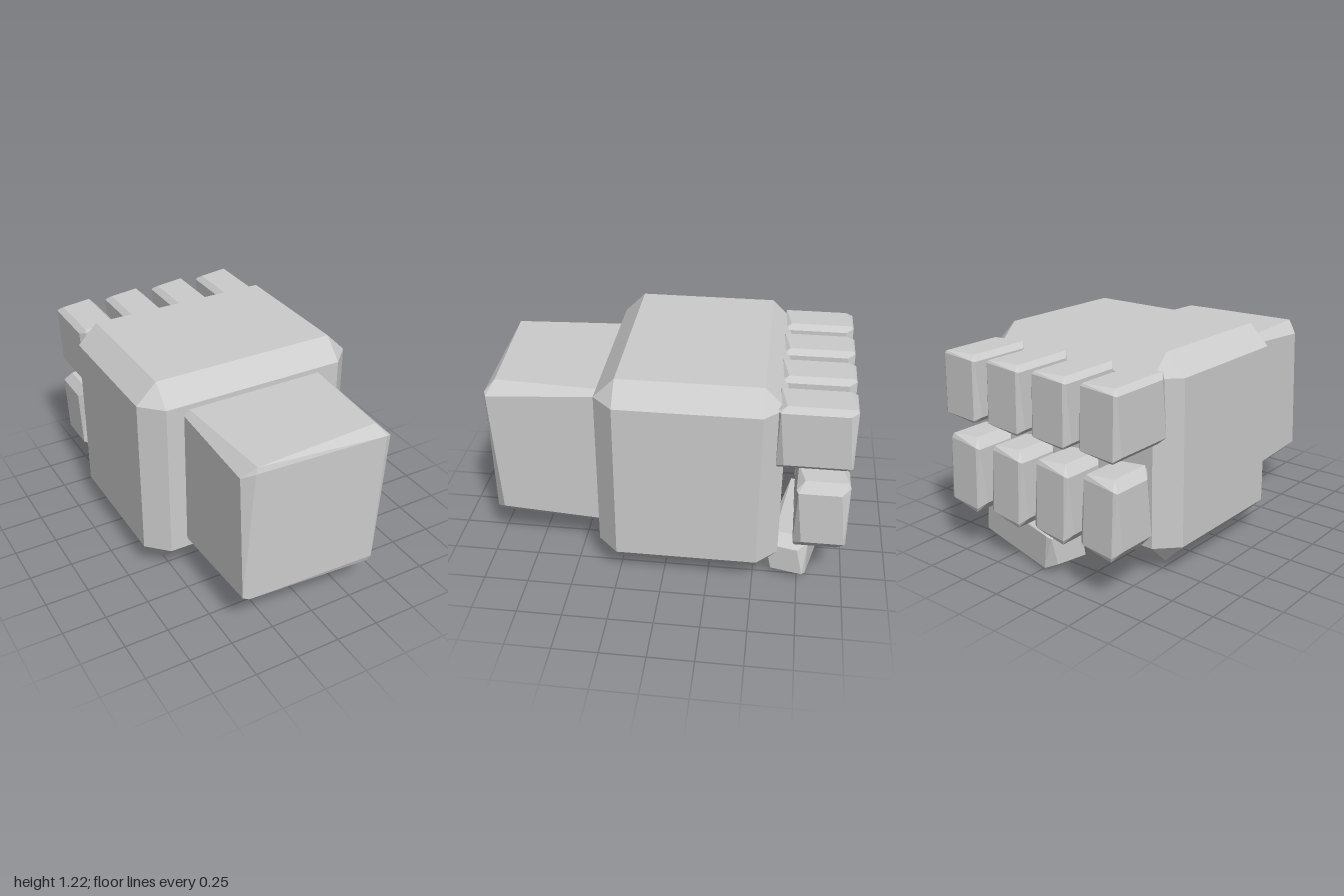
import * as THREE from 'three';
import { ConvexGeometry } from 'three/addons/geometries/ConvexGeometry.js';

// Inset factors per corner handedness: for each face axis, the insets along the next two axes
const EVEN = { plus: [[1, 1], [1, 1], [1, 1]], minus: [[1, 1], [1, 1], [1, 1]] };
const TWIST = {
  plus: [[1, 0.2], [0.8, 1], [0.45, 0.85]],
  minus: [[1, 0.8], [0.15, 1], [0.8, 0.45]],
};

// Box with cut corners and edges; each corner becomes three points, one per face
function chamferBox(size, cut, style, backScale = 1) {
  const points = [];
  for (const sx of [-1, 1]) for (const sy of [-1, 1]) for (const sz of [-1, 1]) {
    const sign = [sx, sy, sz];
    const table = sx * sy * sz > 0 ? style.plus : style.minus;
    const scale = sz < 0 ? backScale : 1;
    for (let i = 0; i < 3; i++) {
      const p = sign.map((s, a) => s * size[a] / 2);
      [(i + 1) % 3, (i + 2) % 3].forEach((axis, n) => {
        p[axis] -= sign[axis] * cut[axis] * table[i][n] * scale;
      });
      points.push(new THREE.Vector3(...p));
    }
  }
  return new ConvexGeometry(points);
}

export function createModel() {
  const group = new THREE.Group();
  group.name = 'fist';
  const grey = new THREE.MeshStandardMaterial({ color: 0xcccccc });
  grey.name = 'light grey';

  const add = (name, geometry, x, y, z) => {
    const mesh = new THREE.Mesh(geometry, grey);
    mesh.name = name;
    mesh.position.set(x, y, z);
    group.add(mesh);
    return mesh;
  };

  // Palm block
  add('palm', chamferBox([1.294, 1.154, 1.005], [0.115, 0.115, 0.115], EVEN), 0, 0.638, -0.132);

  // Wrist stub running into the palm
  add('wrist', chamferBox([0.862, 0.868, 0.8], [0.07, 0.07, 0.068], TWIST, 0.3), 0, 0.637, 0.6);

  // Curled fingers: a knuckle segment above and a tip segment below
  const knuckle = chamferBox([0.24, 0.37, 0.4], [0.03, 0.03, 0.05], TWIST);
  const tip = chamferBox([0.24, 0.43, 0.285], [0.045, 0.055, 0.055], TWIST);
  [-0.477, -0.159, 0.159, 0.477].forEach((x, i) => {
    add(`fingerKnuckle${i + 1}`, knuckle, x, 0.955, -0.795);
    add(`fingerTip${i + 1}`, tip, x, 0.465, -0.8555);
  });

  // Thumb lying slanted under the finger tips
  const thumb = add('thumb', chamferBox([0.67, 0.26, 0.24], [0.07, 0.05, 0.06], TWIST), 0.215, 0.13, -0.745);
  thumb.rotation.y = -0.22;

  return group;
}
